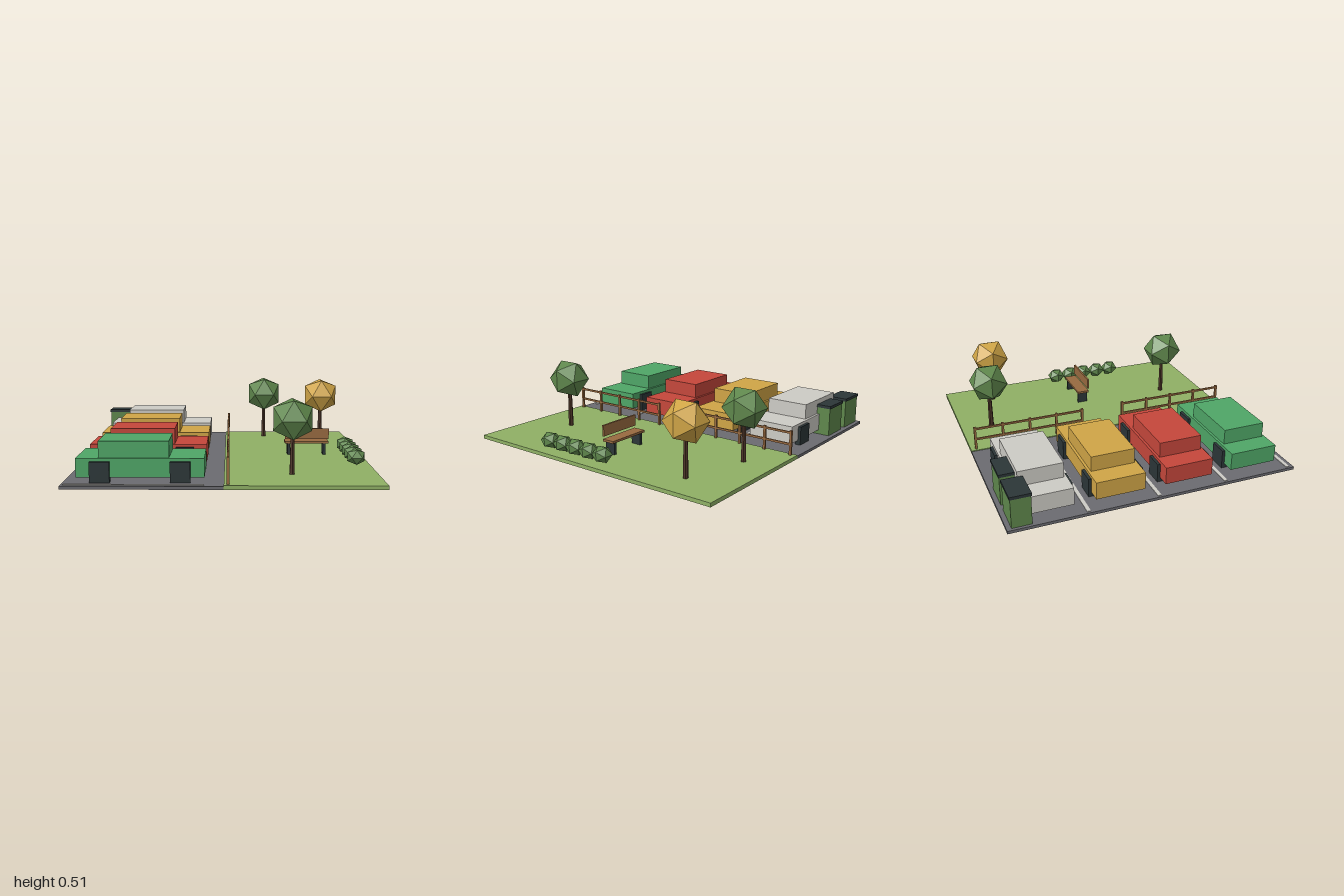
import * as THREE from 'three';

const mat = (name, color) => {
  const m = new THREE.MeshStandardMaterial({ color });
  m.name = name;
  return m;
};

export function createModel() {
  const asphalt = mat('asphalt', 0x6b6b70);
  const grass = mat('grass', 0x8fb065);
  const pale = mat('pale grey', 0xcdcbc5);
  const yellow = mat('golden yellow', 0xd0a546);
  const red = mat('red', 0xc5473b);
  const green = mat('car green', 0x4fa667);
  const dark = mat('dark', 0x2c3638);
  const wood = mat('wood', 0x986a40);
  const bark = mat('bark', 0x4c3427);
  const leaf = mat('leaf green', 0x5f874c);
  leaf.flatShading = yellow.flatShading = bark.flatShading = true;

  const model = new THREE.Group();
  model.name = 'parkingLotAndPark';

  const group = (name, x = 0, z = 0) => {
    const g = new THREE.Group();
    g.name = name;
    g.position.set(x, 0, z);
    model.add(g);
    return g;
  };
  // Box given by its extents on each axis
  const box = (parent, name, material, [x0, x1], [y0, y1], [z0, z1]) => {
    const mesh = new THREE.Mesh(new THREE.BoxGeometry(x1 - x0, y1 - y0, z1 - z0), material);
    mesh.name = name;
    mesh.position.set((x0 + x1) / 2, (y0 + y1) / 2, (z0 + z1) / 2);
    parent.add(mesh);
    return mesh;
  };
  const foliage = (parent, name, material, radius, y, squash = 1) => {
    const geometry = new THREE.IcosahedronGeometry(radius, 0).rotateY(Math.PI / 2);
    const mesh = new THREE.Mesh(geometry, material);
    mesh.name = name;
    mesh.position.y = y;
    mesh.scale.y = squash;
    parent.add(mesh);
  };

  // Ground
  box(model, 'pavement', asphalt, [-1, 0], [0, 0.02], [-1, 1]);
  box(model, 'lawn', grass, [0, 1], [0, 0.026], [-1, 1]);

  // Bay lines
  for (const z of [-0.48, 0, 0.48, 0.96])
    box(model, 'bayLine', pale, [-0.985, -0.12], [0.018, 0.024], [z - 0.0125, z + 0.0125]);

  // Parked cars
  [pale, yellow, red, green].forEach((paint, i) => {
    const car = group('car', -0.52, -0.72 + i * 0.48);
    box(car, 'carBody', paint, [-0.4, 0.4], [0.05, 0.17], [-0.168, 0.168]);
    box(car, 'carCabin', paint, [-0.26, 0.18], [0.17, 0.275], [-0.15, 0.15]);
    for (const x of [-0.25, 0.25])
      for (const z of [-0.168, 0.168])
        box(car, 'wheel', dark, [x - 0.063, x + 0.063], [0.002, 0.15], [z - 0.02, z + 0.02]);
  });

  // Waste bins
  for (const x of [-0.88, -0.62]) {
    const bin = group('wasteBin', x, -0.904);
    box(bin, 'binBody', leaf, [-0.1, 0.1], [0.015, 0.22], [-0.065, 0.065]);
    box(bin, 'binLid', dark, [-0.104, 0.104], [0.22, 0.24], [-0.07, 0.07]);
  }

  // Two runs of fence with a gap between
  for (const side of [-1, 1]) {
    const fence = group('fence', 0.026, side * 0.56);
    for (let i = -2; i <= 2; i++)
      box(fence, 'fencePost', wood, [-0.008, 0.008], [0.01, 0.195], [i * 0.2 - 0.008, i * 0.2 + 0.008]);
    for (const y of [0.1, 0.18])
      box(fence, 'fenceRail', wood, [-0.006, 0.006], [y - 0.007, y + 0.007], [-0.406, 0.406]);
  }

  // Trees
  for (const [x, z, material] of [[0.32, -0.78, leaf], [0.78, -0.66, yellow], [0.44, 0.68, leaf]]) {
    const tree = group('tree', x, z);
    const trunk = new THREE.Mesh(new THREE.CylinderGeometry(0.014, 0.019, 0.3, 6), bark);
    trunk.name = 'trunk';
    trunk.position.y = 0.153;
    tree.add(trunk);
    foliage(tree, 'crown', material, 0.147, 0.387);
  }

  // Row of shrubs
  for (let i = 0; i < 5; i++)
    foliage(group('shrub', 0.9, -0.08 + i * 0.12), 'shrubLeaves', leaf, 0.069, 0.085, 0.85);

  // Bench facing the back
  const bench = group('bench', 0.6, 0);
  box(bench, 'benchSeat', wood, [-0.16, 0.16], [0.11, 0.126], [-0.045, 0.045]);
  box(bench, 'benchBack', wood, [-0.16, 0.16], [0.145, 0.222], [0.035, 0.048]);
  for (const x of [-0.13, 0.13])
    box(bench, 'benchLeg', dark, [x - 0.01, x + 0.01], [0.015, 0.11], [-0.038, 0.038]);

  return model;
}
